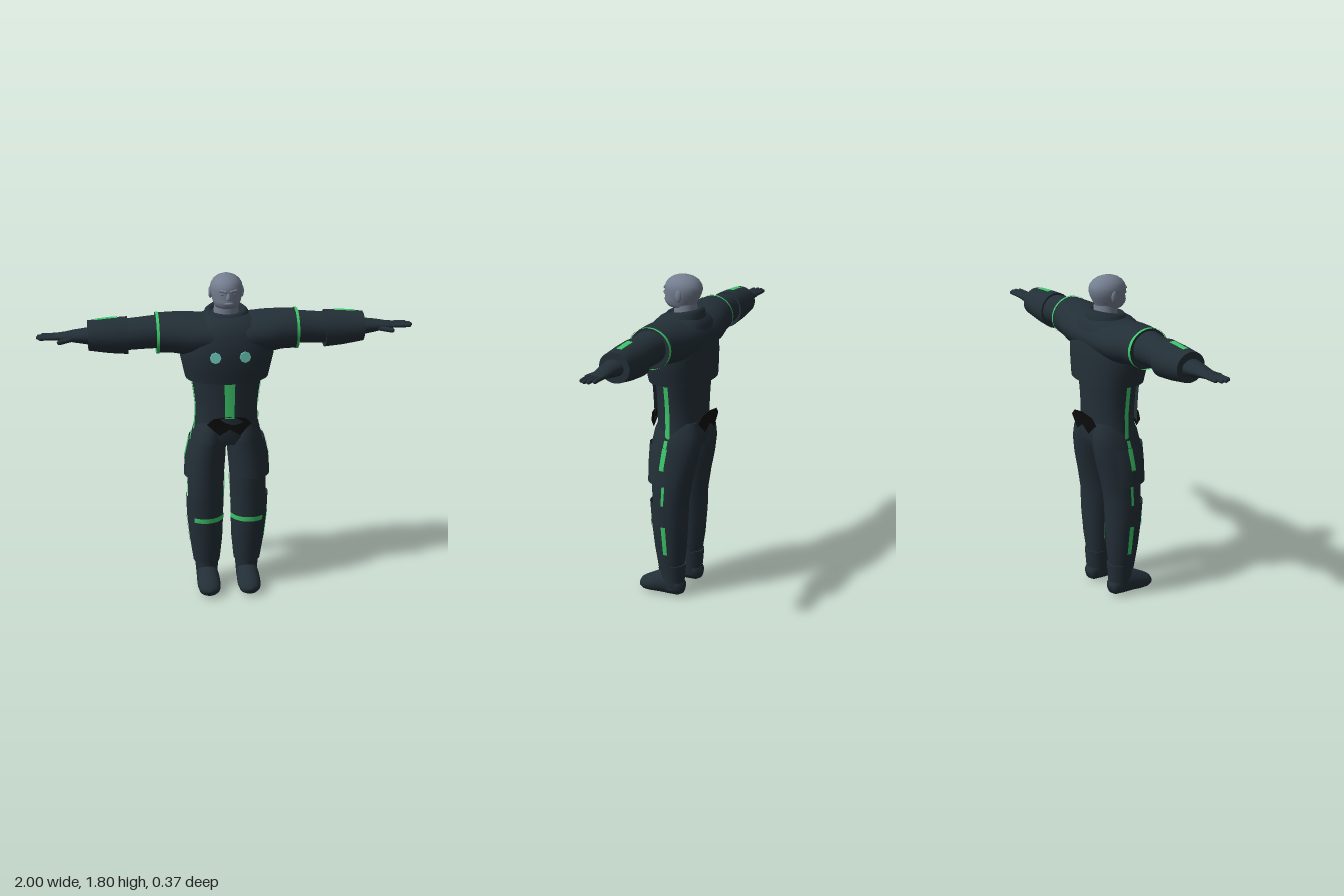
import * as THREE from 'three';

const mat = (name, color) => {
  const m = new THREE.MeshStandardMaterial({ color, side: THREE.DoubleSide });
  m.name = name;
  return m;
};

// Row of a loft: [t, u, v, ru, rv]. Axis y: (u,v) = (x,z); x: (y,z); z: (x,y).
const place = { x: (t, u, v) => [t, u, v], y: (t, u, v) => [u, t, v], z: (t, u, v) => [u, v, t] };

// Skin of elliptical (or squarer, n > 2) sections, rows in ascending t; arc = [from, to] makes an open shell
function loft(axis, rows, { arc = null, n = 2, seg = 32 } = {}) {
  const pos = [], idx = [], cols = arc ? seg + 1 : seg;
  const [a0, a1] = arc || [0, Math.PI * 2];
  const tri = (a, b, c) => (axis === 'y' ? idx.push(a, c, b) : idx.push(a, b, c));
  const ring = ([t, u, v, ru, rv]) => {
    for (let i = 0; i < cols; i++) {
      const a = a0 + (a1 - a0) * i / seg, c = Math.cos(a), s = Math.sin(a);
      const k = Math.pow(Math.abs(c) ** n + Math.abs(s) ** n, -1 / n);
      pos.push(...place[axis](t, u + ru * c * k, v + rv * s * k));
    }
  };
  rows.forEach(ring);
  for (let r = 0; r + 1 < rows.length; r++) {
    for (let i = 0; i < seg; i++) {
      const j = (i + 1) % cols, p = r * cols, q = p + cols;
      tri(p + i, p + j, q + j);
      tri(p + i, q + j, q + i);
    }
  }
  // flat end caps with their own vertices
  if (!arc) [rows[0], rows[rows.length - 1]].forEach((row, end) => {
    if (row[3] < 0.001) return;
    const base = pos.length / 3;
    ring(row);
    pos.push(...place[axis](row[0], row[1], row[2]));
    for (let i = 0; i < seg; i++) {
      const j = (i + 1) % cols;
      end ? tri(base + i, base + j, base + cols) : tri(base + j, base + i, base + cols);
    }
  });
  const g = new THREE.BufferGeometry();
  g.setAttribute('position', new THREE.Float32BufferAttribute(pos, 3));
  g.setIndex(idx);
  g.computeVertexNormals();
  return g;
}

// Thin shell lying on part of a loft, between t0 and t1
function strip(axis, rows, t0, t1, arc, off, seg = 8) {
  const at = t => {
    let i = 0;
    while (i < rows.length - 2 && rows[i + 1][0] < t) i++;
    const k = (t - rows[i][0]) / (rows[i + 1][0] - rows[i][0]);
    const r = rows[i].map((a, j) => a + (rows[i + 1][j] - a) * k);
    return [t, r[1], r[2], r[3] + off, r[4] + off];
  };
  const ts = [t0, ...rows.map(r => r[0]).filter(t => t > t0 && t < t1), t1];
  return loft(axis, ts.map(at), { arc, seg });
}

function mirrored(geo) {
  const g = geo.clone().scale(-1, 1, 1), ix = g.index;
  for (let i = 0; i < ix.count; i += 3) {
    const b = ix.getX(i + 1);
    ix.setX(i + 1, ix.getX(i + 2));
    ix.setX(i + 2, b);
  }
  return g;
}

// Rounded rod between two points
function rod(a, b, r) {
  const p = new THREE.Vector3(...a), q = new THREE.Vector3(...b), d = q.clone().sub(p);
  const g = new THREE.CapsuleGeometry(r, d.length(), 4, 10);
  const turn = new THREE.Quaternion().setFromUnitVectors(new THREE.Vector3(0, 1, 0), d.normalize());
  return g.applyQuaternion(turn).translate(...p.add(q).multiplyScalar(0.5).toArray());
}

export function createModel() {
  const model = new THREE.Group();
  const suit = mat('dark suit', 0x232f37), skin = mat('grey skin', 0x747e90), green = mat('green trim', 0x3cc86a);
  const teal = mat('teal light', 0x72d0c2), black = mat('black patch', 0x0b0b0b);
  const add = (name, geo, m = suit) => {
    const mesh = new THREE.Mesh(geo, m);
    mesh.name = name;
    model.add(mesh);
  };
  const pair = (name, geo, m = suit) => {
    add(name + 'Left', geo, m);
    add(name + 'Right', mirrored(geo), m);
  };

  // Head and face
  add('neck', loft('y', [[1.55, 0, -0.035, 0.07, 0.065], [1.66, 0, -0.03, 0.062, 0.06]]), skin);
  add('head', loft('y', [
    [1.625, 0, -0.03, 0.05, 0.045], [1.637, 0, -0.01, 0.062, 0.075], [1.655, 0, -0.005, 0.07, 0.087],
    [1.675, 0, -0.01, 0.076, 0.093], [1.7, 0, -0.018, 0.082, 0.097], [1.73, 0, -0.02, 0.086, 0.104],
    [1.755, 0, -0.02, 0.082, 0.099], [1.777, 0, -0.02, 0.069, 0.083], [1.793, 0, -0.02, 0.049, 0.06],
    [1.802, 0, -0.02, 0.026, 0.034], [1.806, 0, -0.02, 0, 0]]), skin);
  add('nose', loft('y', [[1.686, 0, 0.076, 0.014, 0.012], [1.697, 0, 0.08, 0.014, 0.022],
    [1.715, 0, 0.076, 0.009, 0.014], [1.73, 0, 0.072, 0.006, 0.008]], { seg: 12 }), skin);
  add('lips', new THREE.SphereGeometry(1, 14, 8).scale(0.024, 0.007, 0.01).translate(0, 1.668, 0.08), skin);
  pair('brow', rod([0.014, 1.733, 0.082], [0.042, 1.736, 0.07], 0.007), skin);
  pair('eye', new THREE.SphereGeometry(0.011, 12, 8).translate(0.03, 1.718, 0.066), skin);
  pair('ear', new THREE.SphereGeometry(1, 12, 10).scale(0.01, 0.032, 0.018).translate(0.084, 1.705, -0.03), skin);

  // Collar, higher at the nape
  const collar = loft('y', [[1.56, 0, -0.025, 0.125, 0.11], [1.6, 0, -0.025, 0.115, 0.105],
    [1.617, 0, -0.025, 0.095, 0.088], [1.6, 0, -0.025, 0.08, 0.075]], { arc: [0, Math.PI * 2] });
  const cp = collar.attributes.position;
  for (let i = 0; i < cp.count; i++) cp.setY(i, cp.getY(i) - 0.16 * cp.getZ(i));
  collar.computeVertexNormals();
  add('collar', collar);

  // Jacket body and the yoke running into both sleeves
  add('jacket', loft('y', [
    [1.25, 0, -0.02, 0.222, 0.165], [1.31, 0, -0.015, 0.235, 0.17], [1.38, 0, -0.01, 0.25, 0.173],
    [1.45, 0, -0.01, 0.245, 0.17], [1.51, 0, -0.012, 0.22, 0.157], [1.55, 0, -0.016, 0.19, 0.143],
    [1.58, 0, -0.02, 0.15, 0.118], [1.595, 0, -0.022, 0.11, 0.09]], { n: 2.3, seg: 48 }));
  const half = [[0.1, 1.485, -0.018, 0.105, 0.16], [0.2, 1.488, -0.018, 0.112, 0.15],
    [0.29, 1.498, -0.016, 0.106, 0.131], [0.37, 1.498, -0.015, 0.105, 0.114]];
  add('shoulderYoke', loft('x', [...half.map(r => [-r[0], ...r.slice(1)]).reverse(), ...half]));
  pair('shoulderRing', strip('x', half, 0.361, 0.376, [0, Math.PI * 2], 0.004, 32), green);
  for (const x of [0.078, -0.078])
    add(x > 0 ? 'chestLightLeft' : 'chestLightRight', new THREE.CylinderGeometry(0.03, 0.03, 0.009, 8)
      .rotateX(Math.PI / 2).rotateY(x * 1.6).translate(x, 1.402, 0.161), teal);

  // Waist with raised belly panel
  const waist = [[0.88, 0, -0.025, 0.15, 0.11], [0.93, 0, -0.025, 0.178, 0.132], [1.0, 0, -0.022, 0.17, 0.132],
    [1.08, 0, -0.02, 0.166, 0.132], [1.16, 0, -0.02, 0.175, 0.134], [1.26, 0, -0.02, 0.19, 0.138]];
  add('waist', loft('y', waist, { seg: 48 }));
  add('bellyPanel', strip('y', waist, 1.0, 1.25, [0.95, Math.PI - 0.95], 0.018, 16));
  add('bellyStripe', strip('y', waist, 1.05, 1.245, [1.435, Math.PI - 1.435], 0.022), green);
  pair('waistStripe', strip('y', waist, 0.93, 1.25, [-0.02, 0.17], 0.005), green);

  // Black patches, front and back, bent around the body
  const patch = (z, bend, y) => {
    const right = [[0.085, 1.05], [0.12, 1.015], [0.055, 0.955]];
    const pts = [[0, 1.063], ...right, [0, 0.992], ...right.map(p => [-p[0], p[1]]).reverse()];
    const g = new THREE.ShapeGeometry(new THREE.Shape(pts.map(p => new THREE.Vector2(p[0], p[1] + y))));
    const p = g.attributes.position;
    for (let i = 0; i < p.count; i++) p.setZ(i, z + bend * p.getX(i) ** 2);
    g.computeVertexNormals();
    return g;
  };
  add('frontPatch', patch(0.139, -1.8, 0), black);
  add('backPatch', patch(-0.179, 0.7, 0.018), black);

  // Legs with thigh and shin plates
  const leg = [[0.15, 0.112, -0.01, 0.06, 0.06], [0.3, 0.115, -0.01, 0.08, 0.08], [0.45, 0.12, -0.008, 0.092, 0.091],
    [0.57, 0.117, -0.002, 0.098, 0.101], [0.69, 0.115, -0.01, 0.1, 0.113], [0.8, 0.106, -0.02, 0.1, 0.13],
    [0.9, 0.097, -0.027, 0.096, 0.14], [0.97, 0.09, -0.032, 0.086, 0.132], [1.03, 0.08, -0.032, 0.07, 0.11]];
  const thigh = [[0.69, 0.127, -0.008, 0.108, 0.127], [0.8, 0.118, -0.012, 0.11, 0.132], [0.9, 0.103, -0.02, 0.102, 0.142]];
  const shin = [[0.165, 0.113, -0.01, 0.073, 0.075], [0.3, 0.116, -0.005, 0.09, 0.09],
    [0.45, 0.121, 0, 0.1, 0.1], [0.573, 0.122, 0.005, 0.103, 0.104]];
  pair('leg', loft('y', leg));
  pair('thighPlate', loft('y', thigh, { arc: [-0.6, 3.1] }));
  pair('shinPlate', loft('y', shin, { arc: [-0.3, 3.3] }));
  pair('kneeBand', strip('y', shin, 0.428, 0.456, [0.87, 2.95], 0.004, 16), green);
  pair('hipStripe', strip('y', thigh, 0.78, 0.9, [-0.05, 0.15], 0.004), green);
  pair('hipJoinStripe', strip('y', leg, 0.895, 0.94, [0.05, 0.2], 0.009), green);
  pair('thighStripe', strip('y', leg, 0.57, 0.69, [-0.05, 0.1], 0.004), green);
  pair('shinStripe', strip('y', shin, 0.28, 0.45, [-0.2, 0.05], 0.004), green);
  pair('innerLegStripe', strip('y', leg, 0.28, 0.68, [Math.PI - 0.08, Math.PI + 0.12], 0.004), green);

  // Boots
  pair('bootShaft', loft('y', [[0.05, 0.112, -0.015, 0.056, 0.058], [0.12, 0.112, -0.012, 0.062, 0.068],
    [0.2, 0.112, -0.012, 0.07, 0.074]]));
  pair('bootFoot', loft('z', [[-0.082, 0.112, 0.065, 0, 0], [-0.075, 0.112, 0.065, 0.035, 0.038],
    [-0.05, 0.112, 0.075, 0.053, 0.062], [0, 0.112, 0.085, 0.058, 0.075], [0.06, 0.112, 0.077, 0.063, 0.066],
    [0.11, 0.112, 0.062, 0.064, 0.053], [0.15, 0.112, 0.052, 0.058, 0.042],
    [0.175, 0.112, 0.05, 0.043, 0.028], [0.187, 0.112, 0.05, 0, 0]]));

  // Arms: upper arm, cuff with top light strip, glove and fingers
  const cuff = [[0.523, 1.49, -0.015, 0.1, 0.094], [0.62, 1.492, -0.015, 0.093, 0.092], [0.73, 1.496, -0.015, 0.079, 0.085]];
  pair('upperArm', loft('x', [[0.35, 1.506, -0.015, 0.088, 0.095], [0.45, 1.5, -0.015, 0.085, 0.086],
    [0.54, 1.494, -0.015, 0.083, 0.083]]));
  pair('forearmCuff', loft('x', cuff));
  pair('cuffStripe', strip('x', cuff, 0.575, 0.69, [-0.2, 0.13], 0.004), green);
  pair('glove', loft('x', [[0.72, 1.495, -0.01, 0.045, 0.058], [0.8, 1.497, -0.011, 0.033, 0.048],
    [0.85, 1.497, -0.012, 0.023, 0.042], [0.9, 1.498, -0.012, 0.015, 0.042], [0.915, 1.498, -0.012, 0, 0]]));
  [[-0.044, 0.965], [-0.022, 0.985], [0, 0.989], [0.021, 0.978]].forEach(([z, tip], i) =>
    pair('finger' + (i + 1), rod([0.885, 1.498, z], [tip, 1.498, z], 0.0105)));
  pair('thumb', rod([0.81, 1.49, 0.022], [0.88, 1.483, 0.05], 0.013));

  return model;
}
